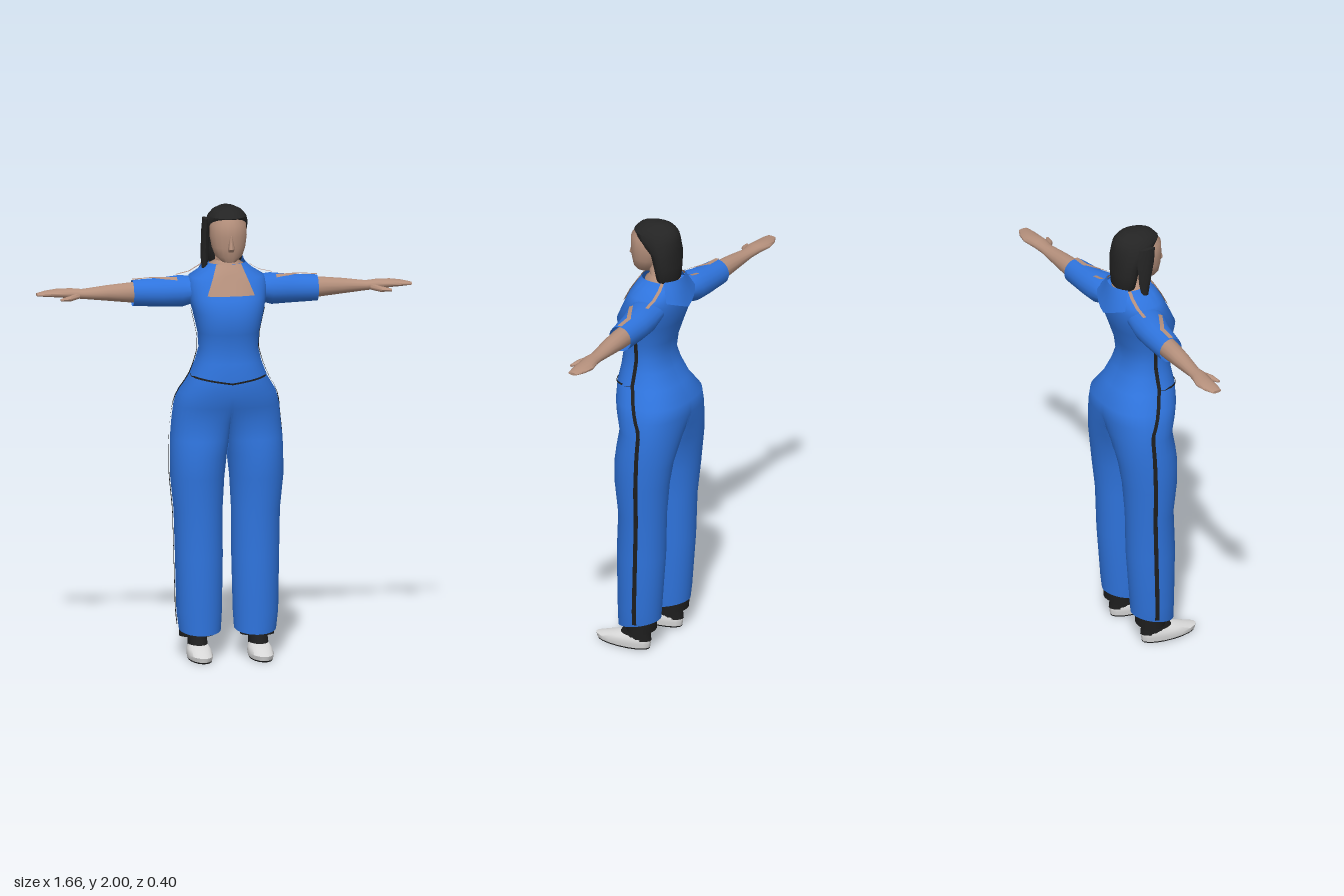
import * as THREE from 'three';
import { toCreasedNormals } from 'three/addons/utils/BufferGeometryUtils.js';

const mat = (name, color, side = THREE.DoubleSide) => {
  const m = new THREE.MeshStandardMaterial({ color, side });
  m.name = name;
  return m;
};
const V = (x, y, z) => new THREE.Vector3(x, y, z);
const mix = (a, b, t) => a + (b - a) * t;

// Interpolate a table of rows sorted by their first column
function rowAt(rows, key) {
  let i = 0;
  while (i < rows.length - 2 && key > rows[i + 1][0]) i++;
  const a = rows[i], b = rows[i + 1];
  const t = Math.min(1, Math.max(0, (key - a[0]) / (b[0] - a[0])));
  return a.map((v, k) => mix(v, b[k], t));
}

// Skin a list of rings; several shells may share one geometry
function skin(shells, caps = false, crease = 0.9) {
  const pos = [];
  const tri = (...ps) => {
    const area = ps[1].clone().sub(ps[0]).cross(ps[2].clone().sub(ps[0])).length();
    if (area > 1e-9) ps.forEach((p) => pos.push(p.x, p.y, p.z));
  };
  for (const rings of shells) {
    for (let r = 0; r < rings.length - 1; r++) {
      for (let k = 0; k < rings[r].length - 1; k++) {
        const a = rings[r][k], b = rings[r][k + 1], c = rings[r + 1][k], d = rings[r + 1][k + 1];
        tri(a, c, b);
        tri(b, c, d);
      }
    }
    if (!caps) continue;
    for (const [ring, top] of [[rings[0], false], [rings[rings.length - 1], true]]) {
      const mid = V(0, 0, 0);
      ring.slice(1).forEach((p) => mid.addScaledVector(p, 1 / (ring.length - 1)));
      for (let k = 0; k < ring.length - 1; k++) {
        if (top) tri(mid, ring[k + 1], ring[k]);
        else tri(mid, ring[k], ring[k + 1]);
      }
    }
  }
  const g = new THREE.BufferGeometry();
  g.setAttribute('position', new THREE.Float32BufferAttribute(pos, 3));
  return toCreasedNormals(g, crease);
}
const mirror = (rings) => rings.map((r) => r.map((p) => V(-p.x, p.y, p.z)).reverse());
const sided = (rings, s) => (s > 0 ? rings : mirror(rings));
const loop = (n, fn) => Array.from({ length: n + 1 }, (_, k) => fn(k / n));
const TAU = Math.PI * 2;

// Upright ovals: [y, half width, front z, back z]
const upright = (rows, cx = 0, n = 18) => rows.map(([y, w, f, b]) => loop(n, (t) =>
  V(cx + w * Math.cos(t * TAU), y, (f + b) / 2 + (f - b) / 2 * Math.sin(t * TAU))));
// Ovals strung along x: [x, centre y, centre z, radius y, radius z]
const along = (rows, n = 14) => rows.map(([x, y, z, ry, rz]) => loop(n, (t) =>
  V(x, y + ry * Math.cos(t * TAU), z - rz * Math.sin(t * TAU))));
// Open sheet from a function of u, v
const sheet = (nu, nv, fn) => loop(nv, (v) => loop(nu, (u) => fn(u, v)));

// Suit half: [y, inner x, outer x, front z, back z, blend from leg to torso]
const SUIT = [
  [0.12, 0.03, 0.215, 0.085, -0.105, 0], [0.2, 0.025, 0.225, 0.085, -0.11, 0],
  [0.45, 0.02, 0.23, 0.09, -0.13, 0], [0.65, 0.02, 0.235, 0.08, -0.135, 0],
  [0.8, 0.012, 0.25, 0.095, -0.15, 0], [0.9, 0.003, 0.25, 0.1, -0.165, 0.15],
  [0.97, 0, 0.248, 0.098, -0.18, 0.5], [1.05, 0, 0.24, 0.092, -0.19, 0.85],
  [1.12, 0, 0.232, 0.115, -0.195, 1], [1.18, 0, 0.215, 0.13, -0.195, 1],
  [1.25, 0, 0.172, 0.135, -0.145, 1], [1.32, 0, 0.145, 0.122, -0.11, 1],
  [1.38, 0, 0.13, 0.115, -0.09, 1], [1.45, 0, 0.135, 0.127, -0.1, 1],
  [1.54, 0, 0.155, 0.145, -0.13, 1], [1.6, 0, 0.17, 0.115, -0.15, 1],
  [1.65, 0, 0.175, 0.09, -0.155, 1], [1.69, 0, 0.165, 0.07, -0.155, 1],
  [1.72, 0, 0.115, 0.055, -0.15, 1], [1.75, 0, 0.085, 0.035, -0.145, 1],
];
const P = 2.4;
const bulge = (q) => Math.pow(Math.max(0, 1 - Math.pow(Math.min(1, Math.abs(q)), P)), 1 / P);
const suitRings = SUIT.map(([y, xi, xo, f, b, t], r) => loop(28, (k) => {
  const a = -Math.PI + k * TAU, zc = (f + b) / 2, d = (f - b) / 2;
  const x = (xi + xo) / 2 + (xo - xi) / 2 * Math.cos(a);
  const z = zc + d * mix(Math.sin(a), Math.sign(Math.sin(a)) * bulge(x / xo), t);
  return V(x, r ? y : y - 0.2 * z, z);
}));
const frontZ = (x, y) => {
  const [, , xo, f, b] = rowAt(SUIT, y);
  return (f + b) / 2 + (f - b) / 2 * bulge(x / xo);
};
const sideX = (z, y) => {
  const [, xi, xo, f, b, t] = rowAt(SUIT, y);
  const q = Math.min(1, Math.abs(z - (f + b) / 2) / ((f - b) / 2));
  return mix((xi + xo) / 2 + (xo - xi) / 2 * Math.sqrt(1 - q * q), xo * bulge(q), t);
};

const SLEEVE = [
  [0.11, 1.63, -0.05, 0.05, 0.08], [0.2, 1.62, -0.062, 0.07, 0.08],
  [0.28, 1.615, -0.075, 0.064, 0.068], [0.41, 1.612, -0.085, 0.058, 0.056],
];
const ARM = [
  [0.34, 1.615, -0.086, 0.046, 0.045], [0.42, 1.615, -0.088, 0.045, 0.043],
  [0.52, 1.615, -0.092, 0.035, 0.038], [0.63, 1.613, -0.097, 0.022, 0.03],
  [0.68, 1.617, -0.1, 0.022, 0.036], [0.74, 1.618, -0.11, 0.018, 0.041],
  [0.79, 1.617, -0.107, 0.013, 0.035], [0.832, 1.615, -0.1, 0.006, 0.022],
];
const THUMB = [
  [0.645, 1.61, -0.08, 0.014, 0.016], [0.69, 1.602, -0.05, 0.013, 0.017],
  [0.735, 1.6, -0.034, 0.006, 0.007],
];

export function createModel() {
  const model = new THREE.Group();
  const blue = mat('suit blue', 0x2f74dd);
  const flesh = mat('skin', 0xb5907c);
  const hair = mat('hair black', 0x242424);
  const black = mat('trim black', 0x1e1e1e);
  const white = mat('shoe white', 0xd9d9d9);
  const add = (name, geometry, material) => {
    const mesh = new THREE.Mesh(geometry, material);
    mesh.name = name;
    model.add(mesh);
  };

  // Jumpsuit, neckline, waist seam and back collar
  add('jumpsuit', skin([suitRings, mirror(suitRings)], false, 1.3), blue);
  add('neckline', skin([sheet(12, 8, (u, v) => {
    const y = mix(1.62, 1.75, v), x = (u - 0.5) * 2 * mix(0.105, 0.055, v);
    return V(-x, y, frontZ(x, y) + 0.005);
  })]), flesh);
  add('waistSeam', skin([sheet(28, 1, (u, v) => {
    const x = (0.5 - u) * 0.336, y = 1.23 + 0.15 * Math.abs(x) + 0.008 * v;
    return V(x, y, frontZ(x, y) + 0.005);
  })]), black);
  add('backCollar', skin([sheet(8, 4, (u, v) => {
    const s = (u - 0.5) * 2;
    return V(s * mix(0.085, 0.12, v), mix(1.76, 1.63 + 0.05 * Math.abs(s), v),
      -0.15 - 0.035 * v + 0.04 * s * s);
  })]), blue);

  // Neck and head
  add('neck', skin([upright([[1.66, 0.09, 0.02, -0.12], [1.74, 0.078, 0.025, -0.13],
    [1.76, 0.05, 0.005, -0.09], [1.83, 0.045, 0.02, -0.08]])], true), flesh);
  add('head', skin([upright([[1.765, 0.032, 0.078, 0], [1.79, 0.06, 0.088, -0.03],
    [1.83, 0.075, 0.095, -0.06], [1.88, 0.083, 0.098, -0.08],
    [1.93, 0.08, 0.098, -0.09], [1.965, 0.06, 0.075, -0.08]])], true), flesh);
  add('nose', skin([upright([[1.815, 0.012, 0.1, 0.08], [1.83, 0.015, 0.117, 0.08],
    [1.885, 0.006, 0.1, 0.08]], 0, 8)], true), flesh);

  // Swept-back hair and the loose lock on one side
  add('hair', skin([upright([[1.72, 0.05, -0.06, -0.115], [1.75, 0.075, -0.04, -0.13],
    [1.81, 0.088, -0.03, -0.132], [1.87, 0.094, -0.015, -0.132], [1.9, 0.095, 0.025, -0.132],
    [1.93, 0.094, 0.06, -0.13], [1.96, 0.085, 0.083, -0.125], [1.985, 0.064, 0.06, -0.105],
    [2, 0.032, 0.025, -0.075]])], true, 0.7), hair);
  add('looseLock', skin([upright([[1.69, 0.008, -0.02, -0.04], [1.78, 0.018, -0.005, -0.06],
    [1.88, 0.016, 0.015, -0.07], [1.95, 0.01, 0.02, -0.06]], -0.098, 8)], true), hair);

  for (const s of [1, -1]) {
    const side = s > 0 ? 'left' : 'right';
    // Arm with short sleeve
    add(side + 'Sleeve', skin([sided(along(SLEEVE, 18), s)]), blue);
    add(side + 'Arm', skin([sided(along(ARM), s)], true), flesh);
    add(side + 'Thumb', skin([sided(along(THUMB, 8), s)], true), flesh);

    // Open slits along the sleeve and shoulder
    add(side + 'SleeveSlit', skin([sided(sheet(1, 12, (u, v) => {
      const x = mix(0.22, 0.41, v);
      const z = (x < 0.33 ? mix(-0.025, -0.08, (x - 0.22) / 0.11) : -0.082) + (0.5 - u) * 0.02;
      const [, yc, zc, ry, rz] = rowAt(SLEEVE, x);
      return V(x, yc + ry * Math.sqrt(Math.max(0, 1 - ((z - zc) / rz) ** 2)) + 0.005, z);
    }), s)]), flesh);
    const seam = [[0.085, 1.754], [0.108, 1.728], [0.155, 1.7], [0.215, 1.686]];
    add(side + 'ShoulderSlit', skin([sided(seam.map(([x, y]) =>
      [V(x, y, -0.094), V(x, y, -0.11)]), s)]), flesh);

    // Side stripe from armpit to hem
    const path = [[0.14, -0.04], [1.08, -0.075], [1.27, 0], [1.55, 0]];
    add(side + 'SideStripe', skin([sided(sheet(1, 40, (u, v) => {
      const y = mix(0.14, 1.55, v), z = rowAt(path, y)[1] + (u - 0.5) * 0.018;
      return V(sideX(z, y) + 0.006, y, z);
    }), s)]), black);

    // Ankle cuff and shoe
    const cx = 0.135 * s;
    add(side + 'Cuff', skin([upright([[0.09, 0.076, 0.035, -0.09],
      [0.15, 0.076, 0.035, -0.092]], cx)], true), black);
    add(side + 'ShoeUpper', skin([upright([[0.04, 0.044, 0.09, -0.074],
      [0.07, 0.043, 0.07, -0.07], [0.11, 0.04, 0.045, -0.075]], cx)], true), black);
    add(side + 'Shoe', skin([upright([[0.006, 0.052, 0.198, -0.067], [0.025, 0.055, 0.203, -0.07],
      [0.045, 0.051, 0.14, -0.07], [0.06, 0.042, 0.085, -0.055]], cx)], true), white);
    add(side + 'Sole', skin([upright([[0, 0.05, 0.195, -0.065],
      [0.006, 0.052, 0.198, -0.067]], cx)], true), black);
  }
  return model;
}
